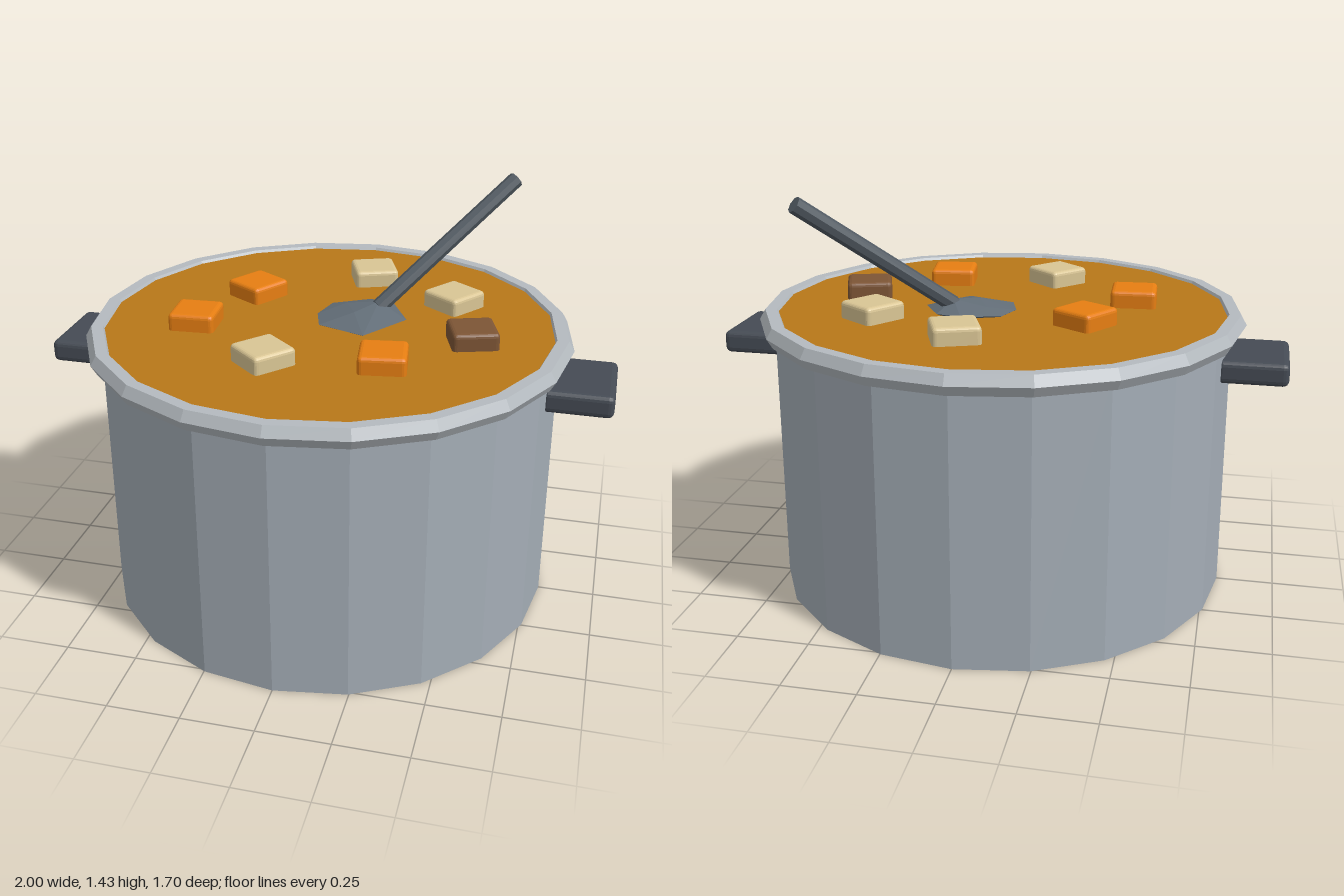
import * as THREE from 'three';
import { RoundedBoxGeometry } from 'three/addons/geometries/RoundedBoxGeometry.js';
import { ConvexGeometry } from 'three/addons/geometries/ConvexGeometry.js';

const SIDES = 20;
const flat = (color) => new THREE.MeshStandardMaterial({ color, flatShading: true });

export function createModel() {
  const pot = new THREE.Group();
  pot.name = 'stewPot';

  const steel = flat(0xa4adb6);
  const rimSteel = flat(0xb4babf);
  const grip = flat(0x454b54);
  const ladleMetal = flat(0x626d77);
  const carrot = flat(0xe67e12);
  const potato = flat(0xd9c594);
  const meat = flat(0x7d5535);

  const add = (name, geometry, material, x = 0, y = 0, z = 0, parent = pot) => {
    const mesh = new THREE.Mesh(geometry, material);
    mesh.name = name;
    mesh.position.set(x, y, z);
    parent.add(mesh);
    return mesh;
  };

  // Faceted body, rolled rim and stew surface
  add('body', new THREE.CylinderGeometry(0.8, 0.8, 0.96, SIDES), steel, 0, 0.48, 0);
  add('rim', new THREE.TorusGeometry(0.81, 0.04, 6, SIDES), rimSteel, 0, 0.965, 0).rotation.x = Math.PI / 2;
  add('stew', new THREE.CylinderGeometry(0.786, 0.786, 0.05, SIDES), flat(0xb87718), 0, 0.965, 0);

  // Side grips
  for (const [side, name] of [[1, 'leftGrip'], [-1, 'rightGrip']]) {
    add(name, new RoundedBoxGeometry(0.24, 0.08, 0.31, 2, 0.02), grip, side * 0.88, 0.838, 0);
  }

  // Floating chunks: name, material, x, z, turn
  const chunks = [
    ['potatoChunk', potato, 0.065, -0.45, 0.36],
    ['potatoChunk', potato, 0.4, -0.255, -0.62],
    ['potatoChunk', potato, -0.13, 0.385, -0.72],
    ['carrotChunk', carrot, -0.32, -0.195, -0.56],
    ['carrotChunk', carrot, -0.45, 0.125, 0.06],
    ['carrotChunk', carrot, 0.255, 0.32, 0.14],
    ['meatChunk', meat, 0.51, 0.06, 0.31],
  ];
  for (const [name, material, x, z, turn] of chunks) {
    add(name, new RoundedBoxGeometry(0.16, 0.1, 0.16, 2, 0.015), material, x, 1, z).rotation.y = turn;
  }

  // Ladle: faceted bowl half sunk in the stew
  const ladle = new THREE.Group();
  ladle.name = 'ladle';
  pot.add(ladle);
  const bowl = [
    [-0.06, 0.992, -0.06], [-0.03, 0.995, -0.165], [0.1, 1.0, -0.225], [0.19, 1.0, -0.2],
    [0.26, 0.995, -0.07], [0.14, 0.992, 0.1], [-0.03, 0.992, 0.04],
    [0.03, 1.015, -0.13], [0.15, 1.035, -0.12], [0.08, 1.022, -0.03],
    [0.03, 0.95, -0.1], [0.15, 0.95, -0.1], [0.1, 0.95, 0.01],
  ].map((p) => new THREE.Vector3(...p));
  add('ladleBowl', new ConvexGeometry(bowl), ladleMetal, 0, 0, 0, ladle);

  // Ladle handle, leaning up over the back left of the rim
  const start = new THREE.Vector3(0.15, 1.015, -0.115);
  const end = new THREE.Vector3(0.575, 1.41, -0.48);
  const along = end.clone().sub(start);
  const mid = start.clone().lerp(end, 0.5);
  const shaft = add('ladleHandle', new THREE.CylinderGeometry(0.029, 0.029, along.length(), 8),
    flat(0x515a62), mid.x, mid.y, mid.z, ladle);
  shaft.quaternion.setFromUnitVectors(new THREE.Vector3(0, 1, 0), along.normalize());

  return pot;
}
